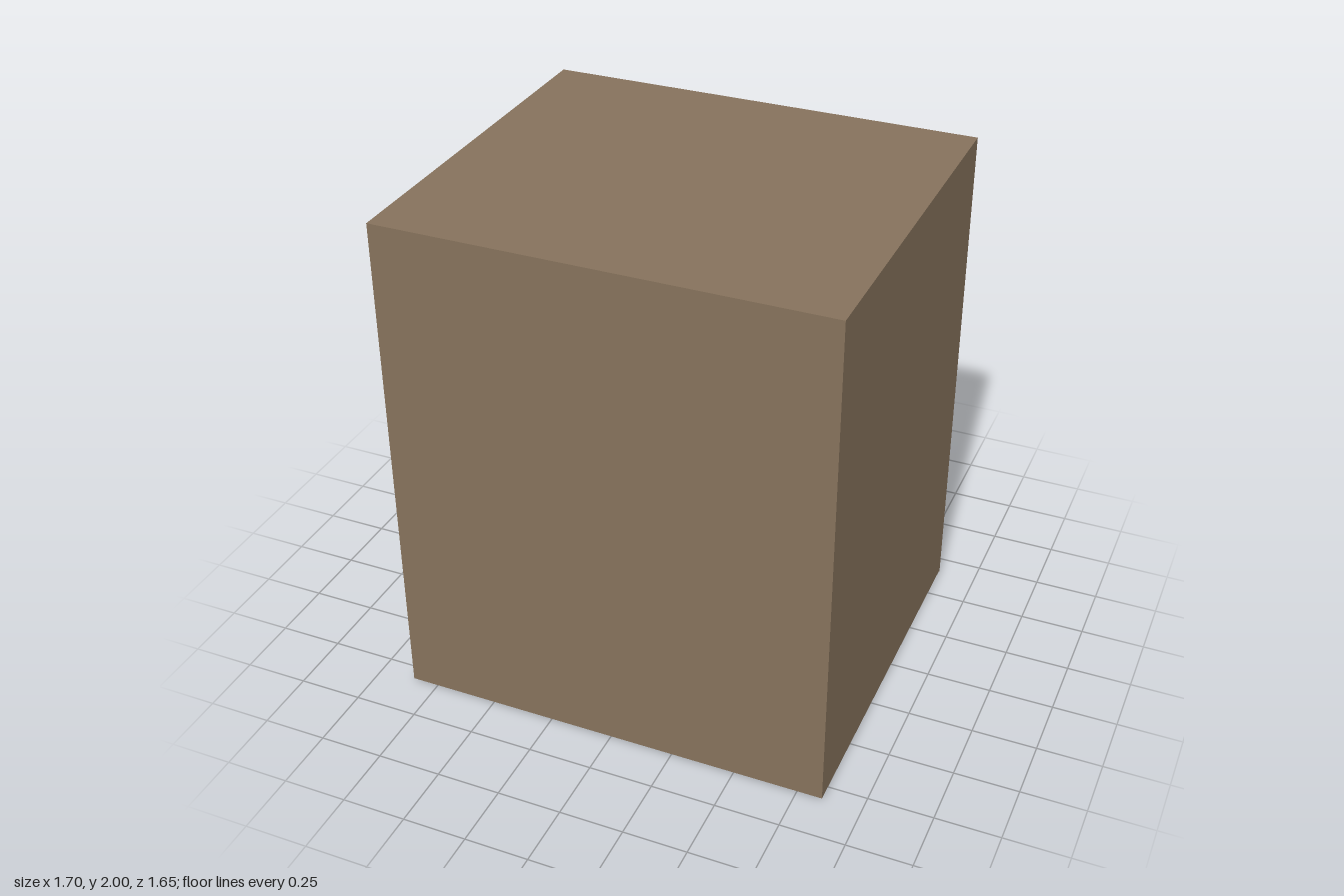
import * as THREE from 'three';

export function createModel() {
  const group = new THREE.Group();
  group.name = 'cabinet';

  const brown = new THREE.MeshStandardMaterial({ color: 0x86725c });
  brown.name = 'brown';
  const silver = new THREE.MeshStandardMaterial({ color: 0xcccccc, flatShading: true });
  silver.name = 'silver';

  const add = (name, geometry, material, x, y, z) => {
    const mesh = new THREE.Mesh(geometry, material);
    mesh.name = name;
    mesh.position.set(x, y, z);
    group.add(mesh);
  };

  // Main body
  add('body', new THREE.BoxGeometry(1.7, 1.99, 1.485), brown, 0, 1.005, 0.0825);

  // Door on the back, bevelled by insetting its outer face
  const bevel = 0.08;
  const door = new THREE.BoxGeometry(1.7, 1.99, bevel);
  const p = door.attributes.position;
  for (let i = 0; i < p.count; i++) {
    if (p.getZ(i) > 0) continue;
    p.setX(i, p.getX(i) - Math.sign(p.getX(i)) * bevel);
    p.setY(i, p.getY(i) - Math.sign(p.getY(i)) * bevel);
  }
  door.computeVertexNormals();
  add('door', door, brown, 0, 0.995, -0.70);

  // Hexagonal knob with corners pointing sideways
  const knob = new THREE.CylinderGeometry(0.096, 0.096, 0.085, 6);
  knob.rotateY(Math.PI / 2);
  knob.rotateX(Math.PI / 2);
  add('knob', knob, silver, -0.64, 0.25, -0.7825);

  return group;
}
